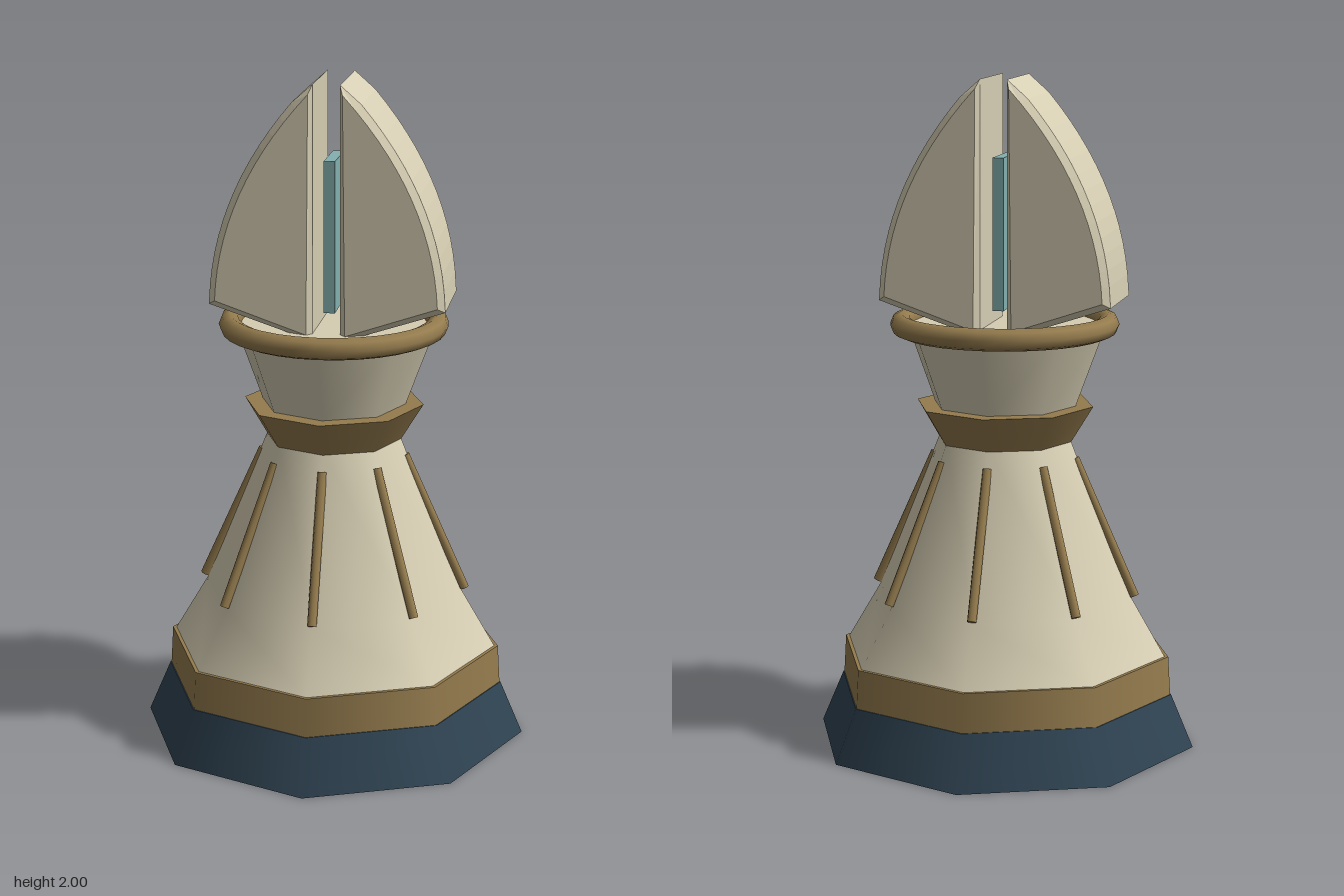
import * as THREE from 'three';

const material = (name, color) => {
  const m = new THREE.MeshStandardMaterial({ color });
  m.name = name;
  return m;
};

export function createModel() {
  const cream = material('cream', 0xd6ceb3);
  const bronze = material('bronze', 0x957c4e);
  const navy = material('navy', 0x2f4352);
  const teal = material('teal', 0x84b0b0);

  const model = new THREE.Group();
  model.name = 'chessPiece';

  const add = (name, geometry, mat, parent = model) => {
    const mesh = new THREE.Mesh(geometry, mat);
    mesh.name = name;
    parent.add(mesh);
    return mesh;
  };

  // Eight-sided tapered drum from height y0 to y1
  const drum = (name, y0, r0, y1, r1, mat) => {
    const mesh = add(name, new THREE.CylinderGeometry(r1, r0, y1 - y0, 8), mat);
    mesh.position.y = (y0 + y1) / 2;
  };

  drum('base', 0, 0.583, 0.16, 0.515, navy);
  drum('baseBand', 0.16, 0.512, 0.277, 0.505, bronze);

  // Flared body
  const profile = [[0.495, 0.275], [0.392, 0.45], [0.2, 0.93]].map(([r, y]) => new THREE.Vector2(r, y));
  add('body', new THREE.LatheGeometry(profile, 8), cream);

  drum('collar', 0.915, 0.2, 1.03, 0.27, bronze);
  drum('neck', 1.02, 0.213, 1.27, 0.305, cream);

  // Rim around the top of the neck
  const rim = add('rim', new THREE.TorusGeometry(0.308, 0.033, 8, 32), bronze);
  rim.rotation.x = Math.PI / 2;
  rim.position.y = 1.271;

  // Ribs running down the body edges
  const low = new THREE.Vector3(0, 0.46, 0.4);
  const high = new THREE.Vector3(0, 0.872, 0.215);
  const ribGeometry = new THREE.CylinderGeometry(0.014, 0.014, low.distanceTo(high), 8);
  const tilt = Math.atan2(high.z - low.z, high.y - low.y);
  for (let i = 0; i < 8; i++) {
    const arm = new THREE.Group();
    arm.name = 'ribArm';
    arm.rotation.y = (i * Math.PI) / 4;
    const rib = add('rib', ribGeometry, bronze, arm);
    rib.position.copy(low).add(high).multiplyScalar(0.5);
    rib.rotation.x = tilt;
    model.add(arm);
  }

  // Split head: two bevelled halves, the right one turned half round
  const outline = new THREE.Shape();
  outline.moveTo(0.057, 1.27);
  outline.lineTo(0.327, 1.362);
  outline.quadraticCurveTo(0.312, 1.69, 0.05, 1.974);
  outline.closePath();
  const halfGeometry = new THREE.ExtrudeGeometry(outline, {
    depth: 0.275, curveSegments: 14,
    bevelEnabled: true, bevelSize: 0.02, bevelThickness: 0.02, bevelSegments: 1,
  });
  halfGeometry.translate(0, 0, -0.1375);
  add('leftHeadHalf', halfGeometry, cream);
  add('rightHeadHalf', halfGeometry, cream).rotation.y = Math.PI;

  // Plate floating in the slit
  const plate = add('slitPlate', new THREE.BoxGeometry(0.033, 0.45, 0.17), teal);
  plate.position.y = 1.545;

  return model;
}
